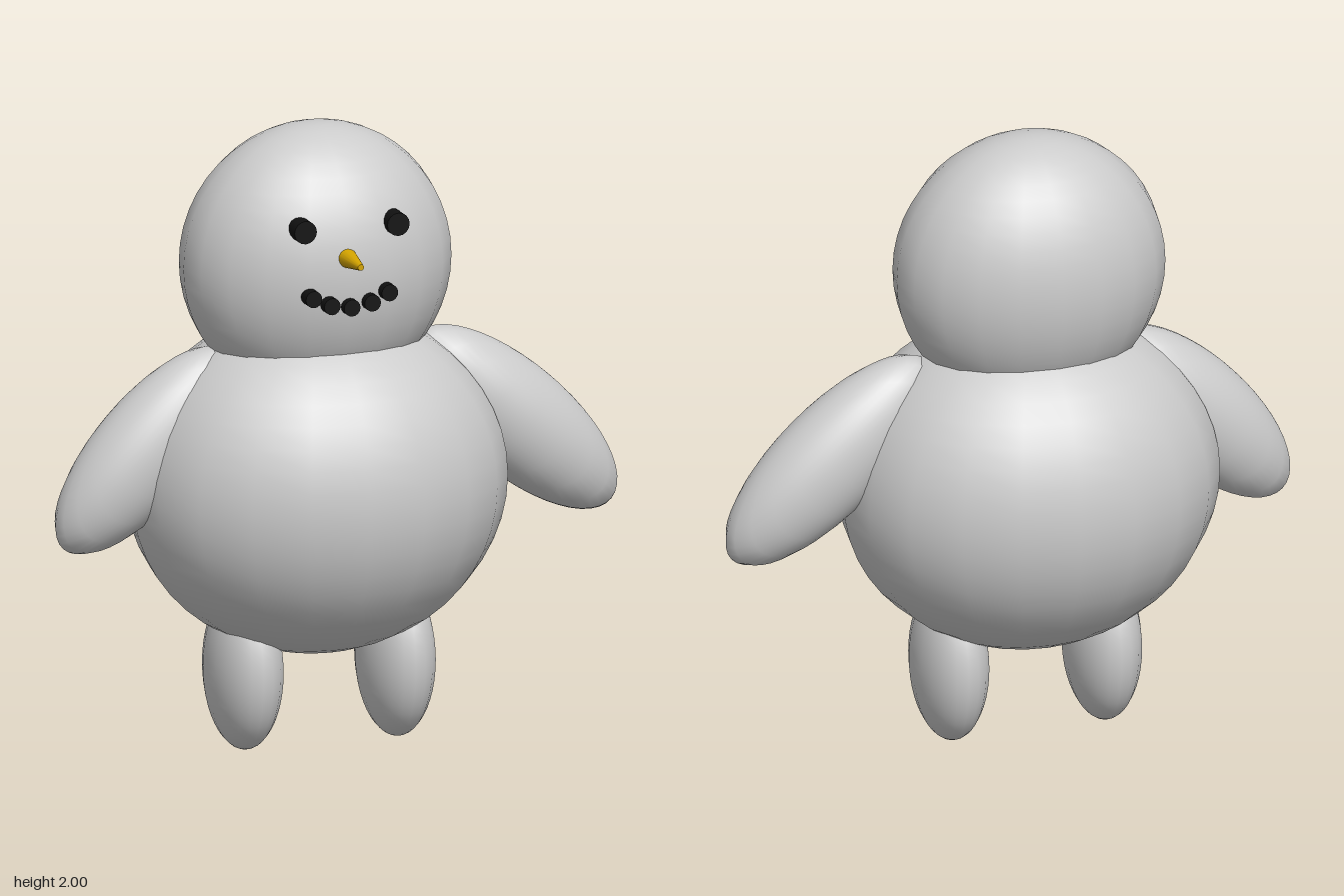
import * as THREE from 'three';

const grey = new THREE.MeshStandardMaterial({ color: 0xcccccc });
const black = new THREE.MeshStandardMaterial({ color: 0x111111 });
const gold = new THREE.MeshStandardMaterial({ color: 0xd4a400 });

export function createModel() {
  const model = new THREE.Group();
  model.name = 'snowman';

  const add = (name, geometry, material, position) => {
    const mesh = new THREE.Mesh(geometry, material);
    mesh.name = name;
    mesh.position.set(...position);
    model.add(mesh);
    return mesh;
  };

  // Stretched ball: the basis of head, body and limbs
  const ball = (name, position, radii, tilt = 0) => {
    const geometry = new THREE.SphereGeometry(1, 20, 24).scale(...radii);
    add(name, geometry, grey, position).rotation.z = tilt;
  };

  // Short peg pointing forward, from z = back to z = front
  const peg = (name, x, y, back, front, rFront, rBack, material) => {
    const geometry = new THREE.CylinderGeometry(rFront, rBack, front - back, 16).rotateX(Math.PI / 2);
    add(name, geometry, material, [x, y, (back + front) / 2]);
  };

  // Body and head
  ball('body', [-0.07, 0.85, 0], [0.61, 0.55, 0.51]);
  ball('head', [-0.073, 1.56, 0], [0.437, 0.44, 0.33]);

  // Arms, hanging outward from the shoulders
  ball('leftArm', [0.585, 0.99, 0], [0.437, 0.173, 0.147], -0.733);
  ball('rightArm', [-0.63, 0.99, 0], [0.407, 0.169, 0.145], 0.815);

  // Feet
  ball('leftFoot', [0.192, 0.26, 0], [0.117, 0.26, 0.192]);
  ball('rightFoot', [-0.313, 0.26, 0], [0.117, 0.26, 0.192]);

  // Eyes
  peg('leftEye', 0.088, 1.73, 0.25, 0.32, 0.037, 0.037, black);
  peg('rightEye', -0.22, 1.73, 0.25, 0.32, 0.037, 0.037, black);

  // Nose
  peg('nose', -0.08, 1.635, 0.31, 0.44, 0.01, 0.032, gold);

  // Mouth: a row of five coals
  [[-0.203, 1.52], [-0.142, 1.492], [-0.076, 1.482], [-0.008, 1.492], [0.049, 1.52]].forEach(([x, y], i) =>
    peg(`mouthCoal${i + 1}`, x, y, 0.3, 0.35, 0.027, 0.027, black));

  return model;
}
